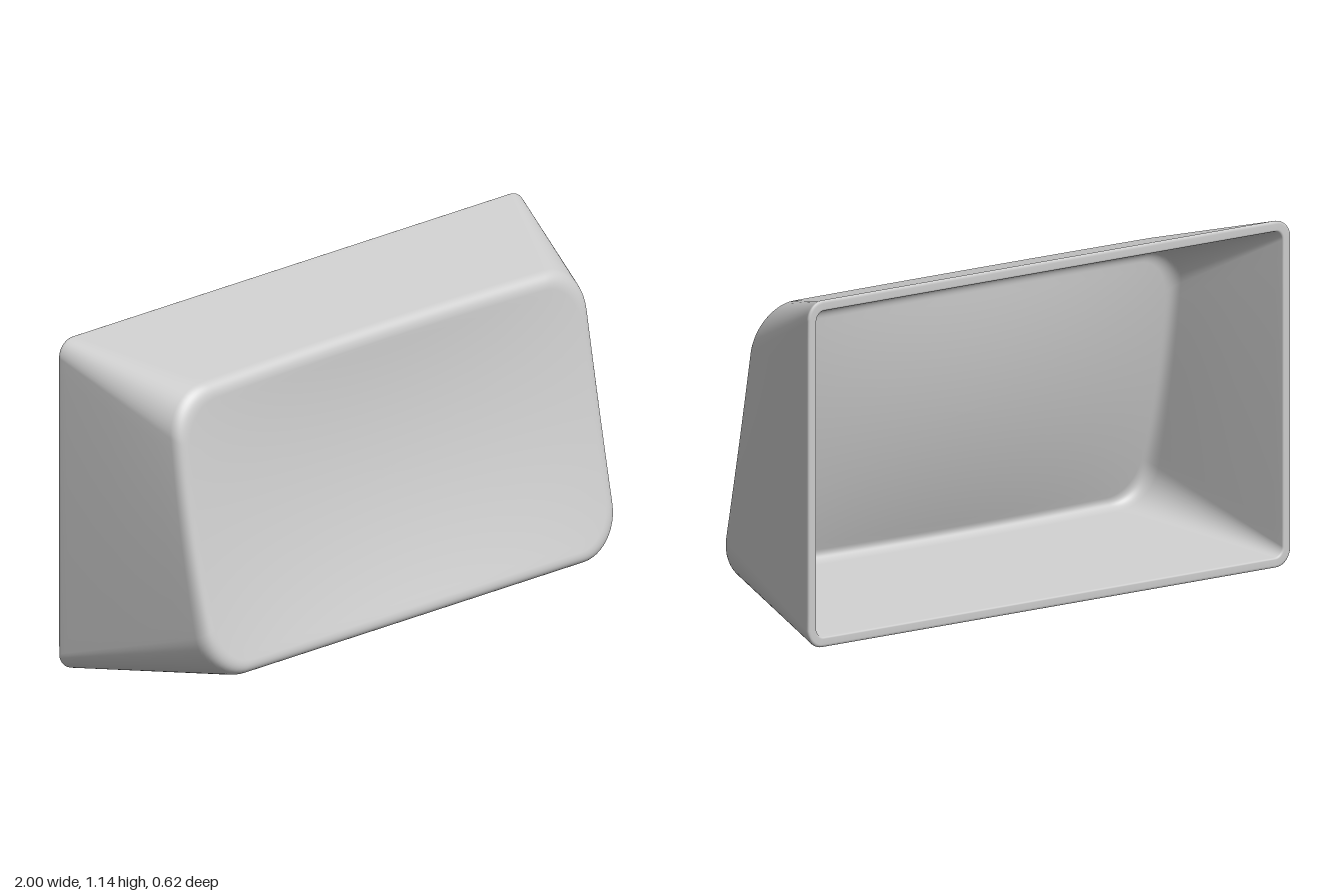
import * as THREE from 'three';

const CORNER = 12, EDGES = [28, 16, 28, 16];
const BACK = -0.305, MID = 0.571;

// Depth of the scooped front: leans back towards the top, with a shallow bowl in the middle
function dish(x, y) {
  const v = y - 0.6, u = 1 - (x / 0.86) ** 2;
  const bowl = Math.max(0, 1 - ((y - MID) / 0.45) ** 2);
  return 0.203 - 0.204 * v + 0.084 * v * v - u * (0.014 + 0.03 * bowl);
}

// Rounded rectangle, counter-clockwise seen from the front
function loop(hw, y0, y1, r, z) {
  const cx = hw - r, corners = [[cx, y1 - r], [-cx, y1 - r], [-cx, y0 + r], [cx, y0 + r]];
  const at = (k, t) => {
    const a = (k + t) * Math.PI / 2;
    return new THREE.Vector3(corners[k][0] + r * Math.cos(a), corners[k][1] + r * Math.sin(a), z);
  };
  const pts = [];
  for (let k = 0; k < 4; k++) {
    for (let i = 0; i <= CORNER; i++) pts.push(at(k, i / CORNER));
    const p = at(k, 1), q = at((k + 1) % 4, 0);
    for (let i = 1; i < EDGES[k]; i++) pts.push(p.clone().lerp(q, i / EDGES[k]));
  }
  return pts;
}

const mix = (a, b, t) => a.map((p, i) => p.clone().lerp(b[i], t));

// Rounded edge between three loops
function fillet(a, corner, b, steps) {
  const out = [];
  for (let i = 0; i <= steps; i++) {
    const t = i / steps;
    out.push(mix(mix(a, corner, t), mix(corner, b, t), t));
  }
  return out;
}

// Loops of one skin, from the middle of the dish out to the back rim
function skin(inset, thickness, round) {
  // Front outline with gently bowed edges, laid onto the dish
  const front = (d) => loop(0.873 - d, 0.105 + d, 1.037 - d, 0.155 - d * 0.6, 0).map((p) => {
    const x = p.x * (1 + 0.012 * (1 - ((p.y - MID) / 0.47) ** 2));
    const y = MID + (p.y - MID) * (1 + 0.015 * (1 - (p.x / 0.88) ** 2));
    return new THREE.Vector3(x, y, dish(x, y) - thickness);
  });
  const corner = front(inset), face = front(inset + round);
  const rim = loop(1 - inset, inset, 1.145 - inset, 0.06 - inset * 0.8, BACK);
  const rings = [];
  for (let i = 0; i < 18; i++) {
    const s = 0.001 + 0.999 * i / 18;
    rings.push(face.map((p) => {
      const x = p.x * s, y = MID + (p.y - MID) * s;
      return new THREE.Vector3(x, y, dish(x, y) - thickness);
    }));
  }
  rings.push(...fillet(face, corner, mix(corner, rim, 0.08), 10));
  for (const t of [0.2, 0.4, 0.6, 0.8, 0.93]) rings.push(mix(corner, rim, t));
  return { rings, rim, corner };
}

// Joins consecutive loops into a closed smooth surface
function loft(rings) {
  const n = rings[0].length, pos = [], idx = [];
  rings.forEach((ring) => ring.forEach((p) => pos.push(p.x, p.y, p.z)));
  for (let i = 0; i < rings.length - 1; i++) {
    for (let j = 0; j < n; j++) {
      const a = i * n + j, b = i * n + (j + 1) % n;
      idx.push(a, a + n, b + n, a, b + n, b);
    }
  }
  // Caps closing the tiny middle loops of the outer and inner face
  const last = (rings.length - 1) * n;
  for (let j = 1; j < n - 1; j++) {
    idx.push(0, j, j + 1, last, last + j + 1, last + j);
  }
  const g = new THREE.BufferGeometry();
  g.setAttribute('position', new THREE.Float32BufferAttribute(pos, 3));
  g.setIndex(idx);
  g.computeVertexNormals();
  return g;
}

export function createModel() {
  const group = new THREE.Group();
  group.name = 'keycap';

  const outer = skin(0, 0, 0.042);
  const inner = skin(0.035, 0.04, 0.032);

  // Softened back rim joining the outer and inner walls
  const rimOut = fillet(mix(outer.rim, outer.corner, 0.025), outer.rim, mix(outer.rim, inner.rim, 0.35), 4);
  const rimIn = fillet(mix(outer.rim, inner.rim, 0.85), inner.rim, mix(inner.rim, inner.corner, 0.01), 3);

  const shell = new THREE.Mesh(
    loft([...outer.rings, ...rimOut, ...rimIn, ...inner.rings.reverse()]),
    new THREE.MeshStandardMaterial({ color: 0xcccccc })
  );
  shell.name = 'hollowShell';
  group.add(shell);
  return group;
}
